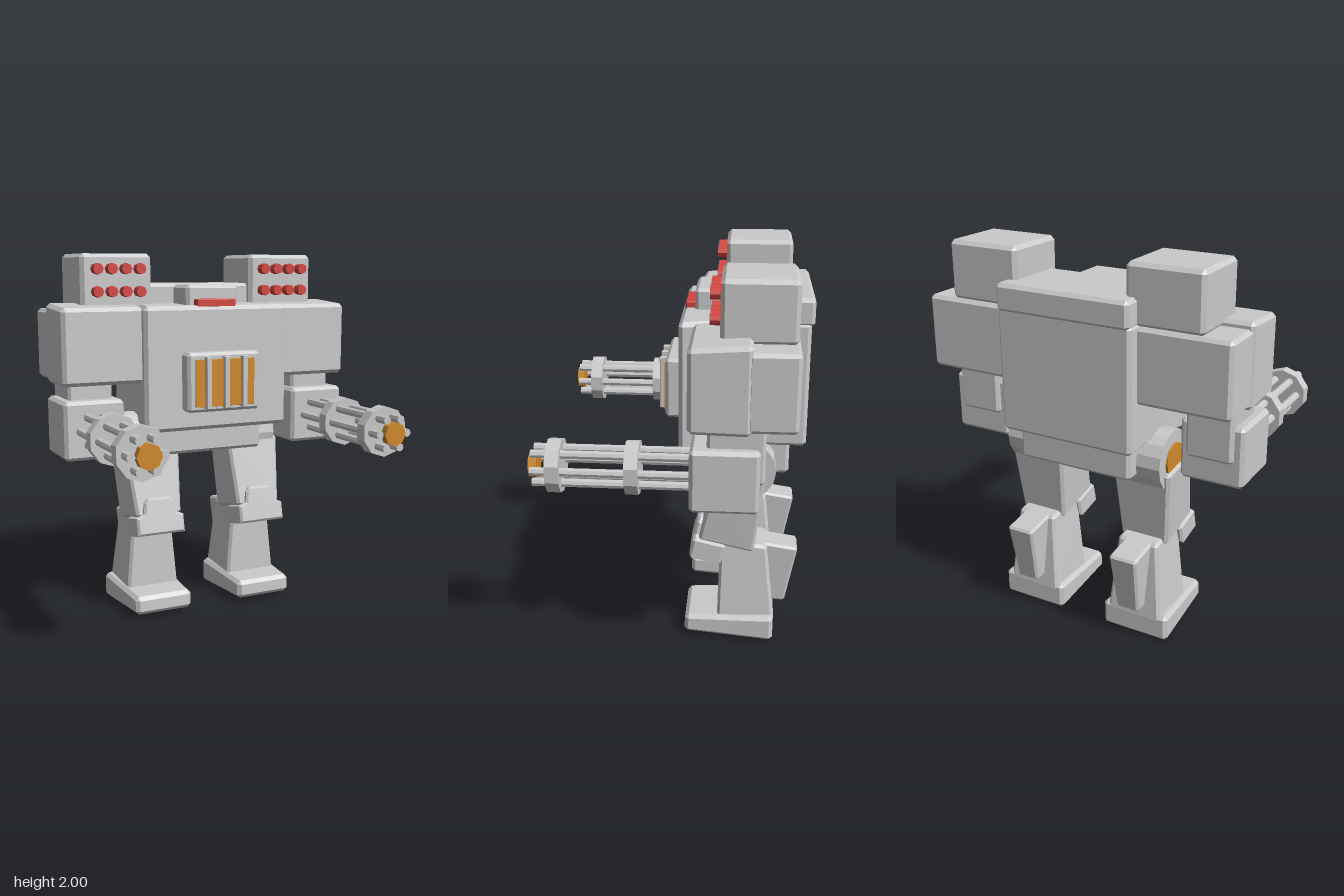
import * as THREE from 'three';
import { ConvexGeometry } from 'three/addons/geometries/ConvexGeometry.js';

const mat = (name, color) => {
  const m = new THREE.MeshStandardMaterial({ color });
  m.name = name;
  return m;
};

export function createModel() {
  const root = new THREE.Group();
  root.name = 'walkerRobot';
  const grey = mat('armourGrey', 0xcacaca);
  const red = mat('signalRed', 0xd2443e);
  const orange = mat('glowOrange', 0xd08a2c);

  const add = (name, geometry, material, parent = root) => {
    const mesh = new THREE.Mesh(geometry, material);
    mesh.name = name;
    parent.add(mesh);
    return mesh;
  };

  // Chamfered six-sided block: four side-profile corners [z, y, x0, x1] in loop order
  const block = (name, profile, bevel, side = 1, material = grey, parent = root) => {
    const c = profile.map(([z, y, x0, x1]) => [x0, x1].map((x) => new THREE.Vector3(x * side, y, z)));
    const points = [];
    for (let i = 0; i < 4; i++) for (let k = 0; k < 2; k++) {
      const p = c[i][k];
      const e = [c[(i + 1) % 4][k], c[(i + 3) % 4][k], c[i][1 - k]]
        .map((q) => q.clone().sub(p).normalize().multiplyScalar(bevel));
      for (let j = 0; j < 3; j++) points.push(p.clone().add(e[j]).add(e[(j + 1) % 3]));
    }
    return add(name, new ConvexGeometry(points), material, parent);
  };

  const box = (name, x0, x1, y0, y1, z0, z1, bevel = 0.018, side = 1, material = grey, parent = root) =>
    block(name, [[z1, y0, x0, x1], [z1, y1, x0, x1], [z0, y1, x0, x1], [z0, y0, x0, x1]],
      bevel, side, material, parent);

  // Flat-sided cylinder lying along z
  const rod = (name, r, z0, z1, x, y, sides, material, parent) => {
    const g = new THREE.CylinderGeometry(r, r, z1 - z0, sides).rotateX(Math.PI / 2).toNonIndexed();
    g.computeVertexNormals();
    add(name, g, material, parent).position.set(x, y, (z0 + z1) / 2);
  };

  // Torso
  block('chest', [[-0.02, 1.05, -0.43, 0.43], [-0.02, 1.725, -0.43, 0.43],
    [-0.4, 1.735, -0.35, 0.35], [-0.4, 1.06, -0.35, 0.35]], 0.022);
  box('backTorso', -0.37, 0.37, 1.08, 1.72, -0.665, -0.28);
  box('upperBack', -0.365, 0.365, 1.7, 1.84, -0.68, -0.27);
  box('head', -0.155, 0.155, 1.7, 1.835, -0.3, -0.085);
  box('visor', -0.115, 0.115, 1.715, 1.76, -0.1, -0.035, 0.006, 1, red);
  box('pelvis', -0.32, 0.32, 0.905, 1.12, -0.585, -0.12);

  // Chest vent
  box('ventFrame', -0.215, 0.215, 1.16, 1.48, -0.05, 0.063, 0.016);
  box('ventGlow', -0.175, 0.175, 1.19, 1.445, 0.062, 0.071, 0.001, 1, orange);
  for (const x of [-0.107, 0, 0.107])
    box('ventBar', x - 0.014, x + 0.014, 1.18, 1.46, 0.06, 0.1, 0.003);

  for (const s of [1, -1]) {
    const name = s > 0 ? 'left' : 'right';

    // Shoulder and missile pod
    const arm = new THREE.Group();
    arm.name = name + 'Arm';
    root.add(arm);
    block('shoulderFront', [[-0.09, 1.315, 0.4, 0.85], [-0.09, 1.72, 0.4, 0.85],
      [-0.385, 1.74, 0.36, 0.855], [-0.385, 1.31, 0.36, 0.855]], 0.02, s, grey, arm);
    box('shoulderBack', 0.34, 0.845, 1.325, 1.705, -0.6, -0.36, 0.018, s, grey, arm);
    box('missilePod', 0.3, 0.7, 1.7, 2, -0.59, -0.23, 0.02, s, grey, arm);
    for (let i = 0; i < 8; i++)
      rod('missile', 0.029, -0.25, -0.18, s * (0.378 + 0.08 * (i % 4)), i < 4 ? 1.8 : 1.92, 8, red, arm);

    // Forearm and rotary gun
    box('elbow', 0.555, 0.8, 1.05, 1.36, -0.455, -0.18, 0.015, s, grey, arm);
    box('forearm', 0.515, 0.848, 0.92, 1.235, -0.43, -0.1, 0.018, s, grey, arm);
    for (let i = 0; i < 6; i++) {
      const a = (i * Math.PI) / 3;
      rod('barrel', 0.022, -0.15, 0.665, s * 0.68 + 0.085 * Math.cos(a), 1.077 + 0.085 * Math.sin(a), 8, grey, arm);
    }
    rod('rearBarrelRing', 0.135, 0.145, 0.21, s * 0.68, 1.077, 10, grey, arm);
    rod('frontBarrelRing', 0.135, 0.52, 0.587, s * 0.68, 1.077, 10, grey, arm);
    rod('gunTip', 0.064, 0.64, 0.68, s * 0.68, 1.077, 8, orange, arm);

    // Hip joint
    const leg = new THREE.Group();
    leg.name = name + 'Leg';
    root.add(leg);
    const disc = (label, r, x0, x1, material) => {
      const g = new THREE.CylinderGeometry(r, r, x1 - x0, 16).rotateZ(Math.PI / 2).toNonIndexed();
      g.computeVertexNormals();
      add(label, g, material, leg).position.set((s * (x0 + x1)) / 2, 0.97, -0.36);
    };
    disc('hip', 0.158, 0.2, 0.45, grey);
    disc('hipCap', 0.09, 0.44, 0.462, orange);

    // Thigh, knee, shin, calf and foot
    block('thigh', [[-0.125, 0.565, 0.18, 0.445], [-0.215, 0.95, 0.155, 0.478],
      [-0.465, 0.925, 0.155, 0.478], [-0.415, 0.5, 0.18, 0.445]], 0.015, s, grey, leg);
    const kneeShape = new THREE.Shape([[-0.14, 0], [0.14, 0], [0.14, 0.1], [0.095, 0.12], [0.085, 0.18],
      [0.065, 0.205], [-0.065, 0.205], [-0.085, 0.18], [-0.095, 0.12], [-0.14, 0.1]]
      .map(([x, y]) => new THREE.Vector2(x, y)));
    const knee = add('kneeGuard', new THREE.ExtrudeGeometry(kneeShape, {
      depth: 0.15, bevelEnabled: true, bevelSize: 0.012, bevelOffset: -0.012, bevelThickness: 0.012, bevelSegments: 1,
    }), grey, leg);
    knee.position.set(s * 0.316, 0.435, -0.235);
    knee.rotation.x = -0.22;
    block('shin', [[-0.23, 0.1, 0.16, 0.47], [-0.24, 0.56, 0.2, 0.425],
      [-0.485, 0.53, 0.2, 0.425], [-0.535, 0.1, 0.16, 0.47]], 0.015, s, grey, leg);
    block('calf', [[-0.5, 0.18, 0.25, 0.375], [-0.45, 0.535, 0.235, 0.39],
      [-0.65, 0.505, 0.235, 0.39], [-0.59, 0.175, 0.25, 0.375]], 0.012, s, grey, leg);
    block('foot', [[-0.055, 0.025, 0.15, 0.48], [-0.06, 0.125, 0.15, 0.48],
      [-0.53, 0.145, 0.13, 0.508], [-0.53, 0, 0.13, 0.508]], 0.02, s, grey, leg);
  }
  return root;
}
